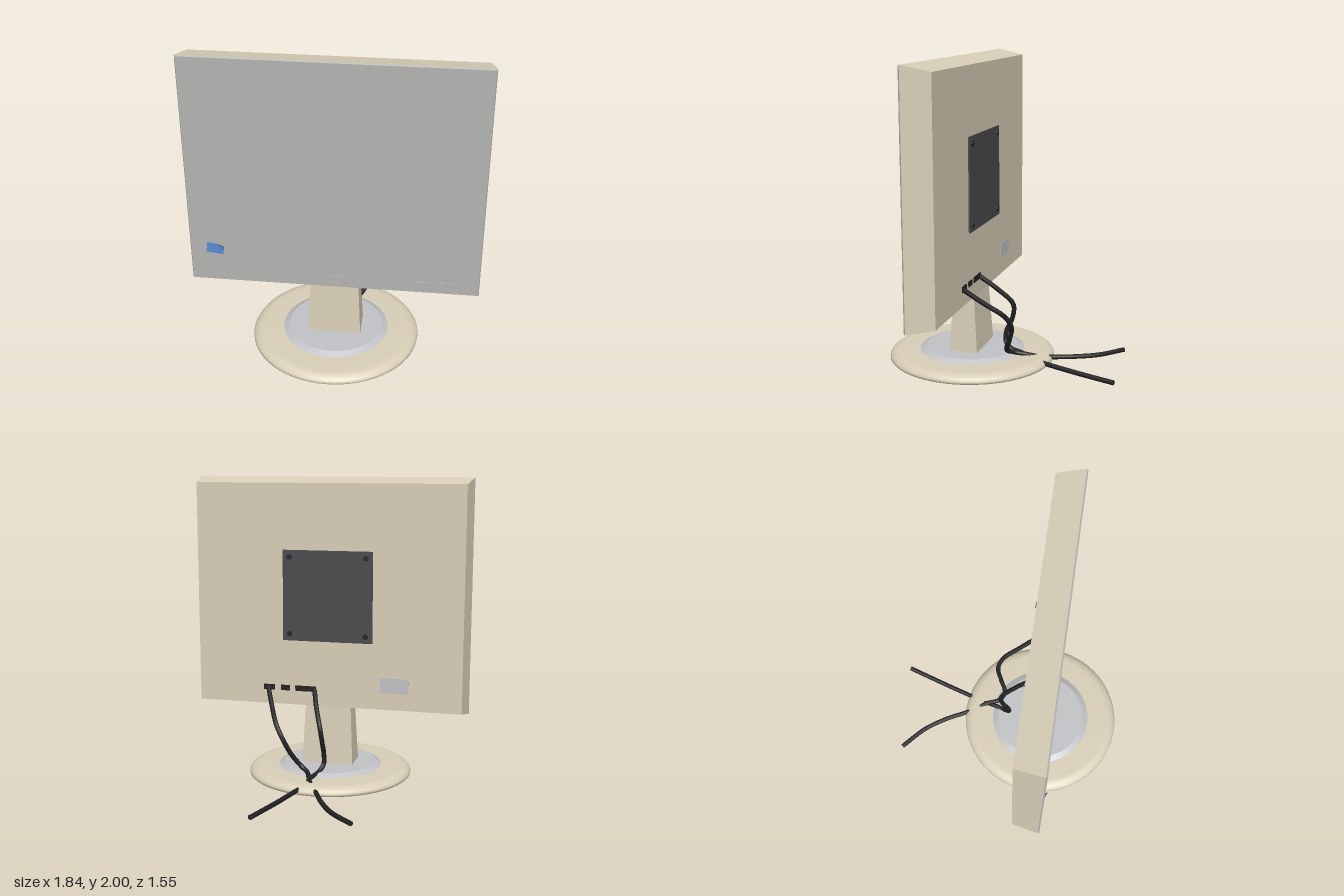
import * as THREE from 'three';

const mat = (name, color, side = THREE.FrontSide) => {
  const m = new THREE.MeshStandardMaterial({ color, side });
  m.name = name;
  return m;
};

export function createModel() {
  const beige = mat('beige plastic', 0xd9cfb8);
  const panelGray = mat('panel gray', 0xb4b4b2);
  const silver = mat('silver', 0xc2c3c6);
  const darkGray = mat('dark gray metal', 0x4a4a4d);
  const black = mat('black rubber', 0x222224);
  const blue = mat('blue sticker', 0x5a8cd6, THREE.DoubleSide);

  const model = new THREE.Group();
  model.name = 'monitor';

  const add = (name, geometry, material, x = 0, y = 0, z = 0, parent = model) => {
    const mesh = new THREE.Mesh(geometry, material);
    mesh.name = name;
    mesh.position.set(x, y, z);
    parent.add(mesh);
    return mesh;
  };
  const box = (w, h, d) => new THREE.BoxGeometry(w, h, d);
  const group = (name) => {
    const g = new THREE.Group();
    g.name = name;
    model.add(g);
    return g;
  };

  // Box whose cross-section shrinks along one axis ('y' towards the top, 'z' towards +z)
  const taperedBox = (w, h, d, axis, insetA, insetB) => {
    const g = box(w, h, d);
    const p = g.attributes.position;
    for (let i = 0; i < p.count; i++) {
      const x = p.getX(i), y = p.getY(i), z = p.getZ(i);
      if (axis === 'y' && y > 0) p.setXYZ(i, x - Math.sign(x) * insetA, y, z - Math.sign(z) * insetB);
      if (axis === 'z' && z > 0) p.setXYZ(i, x - Math.sign(x) * insetA, y - Math.sign(y) * insetB, z);
    }
    g.computeVertexNormals();
    return g;
  };

  // Screen housing narrowing towards the back, and the flat front panel
  const shell = add('housing', taperedBox(1.84, 1.545, 0.177, 'z', 0.03, 0.037), beige, 0, 1.2275, 0.2335);
  shell.rotation.y = Math.PI;
  add('frontPanel', taperedBox(1.84, 1.545, 0.01, 'z', 0.006, 0.006), panelGray, 0, 1.2275, 0.327);

  // Front controls
  const controls = group('controls');
  for (let i = 0; i < 5; i++) add('button', box(0.04, 0.024, 0.01), panelGray, 0.475 + i * 0.0715, 0.53, 0.335, controls);
  const led = add('powerLight', new THREE.CylinderGeometry(0.009, 0.009, 0.008, 16), panelGray, 0.83, 0.53, 0.335, controls);
  led.rotation.x = Math.PI / 2;
  add('badge', box(0.15, 0.026, 0.006), panelGray, 0, 0.53, 0.334, controls);

  // Sticker with one curling corner
  const stickerGeo = new THREE.PlaneGeometry(0.11, 0.072, 8, 6);
  const sp = stickerGeo.attributes.position;
  for (let i = 0; i < sp.count; i++) {
    const t = Math.max(0, sp.getX(i) / 0.055 + sp.getY(i) / 0.036 - 0.8);
    sp.setZ(i, 0.012 * t * t);
  }
  stickerGeo.computeVertexNormals();
  add('sticker', stickerGeo, blue, -0.758, 0.698, 0.335).rotation.z = -0.13;

  // Mounting plate and its screws
  const mount = group('mount');
  add('mountPlate', box(0.6, 0.6, 0.01), darkGray, 0, 1.23, 0.14, mount);
  for (const sx of [-1, 1]) for (const sy of [-1, 1]) {
    const screw = add('screw', new THREE.CylinderGeometry(0.017, 0.017, 0.01, 16), black,
      sx * 0.255, 1.23 + sy * 0.255, 0.131, mount);
    screw.rotation.x = Math.PI / 2;
  }

  // Sockets and rear label
  const sockets = group('sockets');
  for (const [x, w] of [[0.4, 0.075], [0.288, 0.06], [0.15, 0.14]]) add('socket', box(w, 0.036, 0.008), black, x, 0.605, 0.143, sockets);
  add('rearLabel', box(0.19, 0.1, 0.004), silver, -0.445, 0.655, 0.144);

  // Stand column
  add('column', taperedBox(0.345, 0.42, 0.19, 'y', 0.02, 0.027), beige, 0, 0.3, 0.235);

  // Round base with a raised centre disc
  const lathe = (points) => new THREE.LatheGeometry(points.map(([r, y]) => new THREE.Vector2(r, y)), 64);
  const BZ = 0.23;
  add('base', lathe([[0.52, 0.022], [0.535, 0.022], [0.545, 0.03], [0.545, 0.042], [0.537, 0.055],
    [0.52, 0.067], [0.5, 0.075], [0.475, 0.079], [0.33, 0.08]]), beige, 0, 0, BZ);
  const underside = add('underside', new THREE.CircleGeometry(0.522, 64), beige, 0, 0.022, BZ);
  underside.rotation.x = Math.PI / 2;
  add('baseDisc', new THREE.CylinderGeometry(0.305, 0.345, 0.02, 64), silver, 0, 0.09, BZ);

  // Feet
  const feet = group('feet');
  for (let i = 0; i < 4; i++) {
    const a = i * Math.PI / 2;
    add('foot', new THREE.CylinderGeometry(0.038, 0.032, 0.023, 20), black,
      0.403 * Math.cos(a), 0.0115, BZ + 0.403 * Math.sin(a), feet);
  }

  // Cables from the sockets down through the base and out behind
  const cables = group('cables');
  const cable = (name, points) => {
    const pts = points.map((p) => new THREE.Vector3(...p));
    const curve = new THREE.CatmullRomCurve3(pts);
    const R = 0.0155;
    add(name, new THREE.TubeGeometry(curve, 120, R, 10), black, 0, 0, 0, cables);
    const last = pts[pts.length - 1];
    const end = add('cableEnd', new THREE.CircleGeometry(R, 10), black, last.x, last.y, last.z, cables);
    end.lookAt(last.clone().add(curve.getTangent(1)));
  };
  cable('signalCable', [[0.41, 0.6, 0.15], [0.35, 0.5, 0.03], [0.29, 0.41, -0.08], [0.24, 0.33, -0.113],
    [0.19, 0.22, -0.085], [0.13, 0.13, -0.05], [0.08, 0.1, -0.08], [0.045, 0.08, -0.17],
    [0, 0.055, -0.25], [-0.03, 0.05, -0.3], [-0.105, 0.043, -0.45], [-0.2, 0.037, -0.59], [-0.35, 0.035, -0.73]]);
  cable('powerCable', [[0.09, 0.6, 0.15], [0.05, 0.51, 0.04], [0.003, 0.4, -0.055], [-0.01, 0.3, -0.045],
    [-0.012, 0.21, -0.005], [-0.01, 0.14, 0], [0.01, 0.1, -0.04], [0.04, 0.085, -0.13],
    [0.065, 0.055, -0.22], [0.092, 0.05, -0.29], [0.16, 0.04, -0.5], [0.25, 0.035, -0.775]]);

  return model;
}
